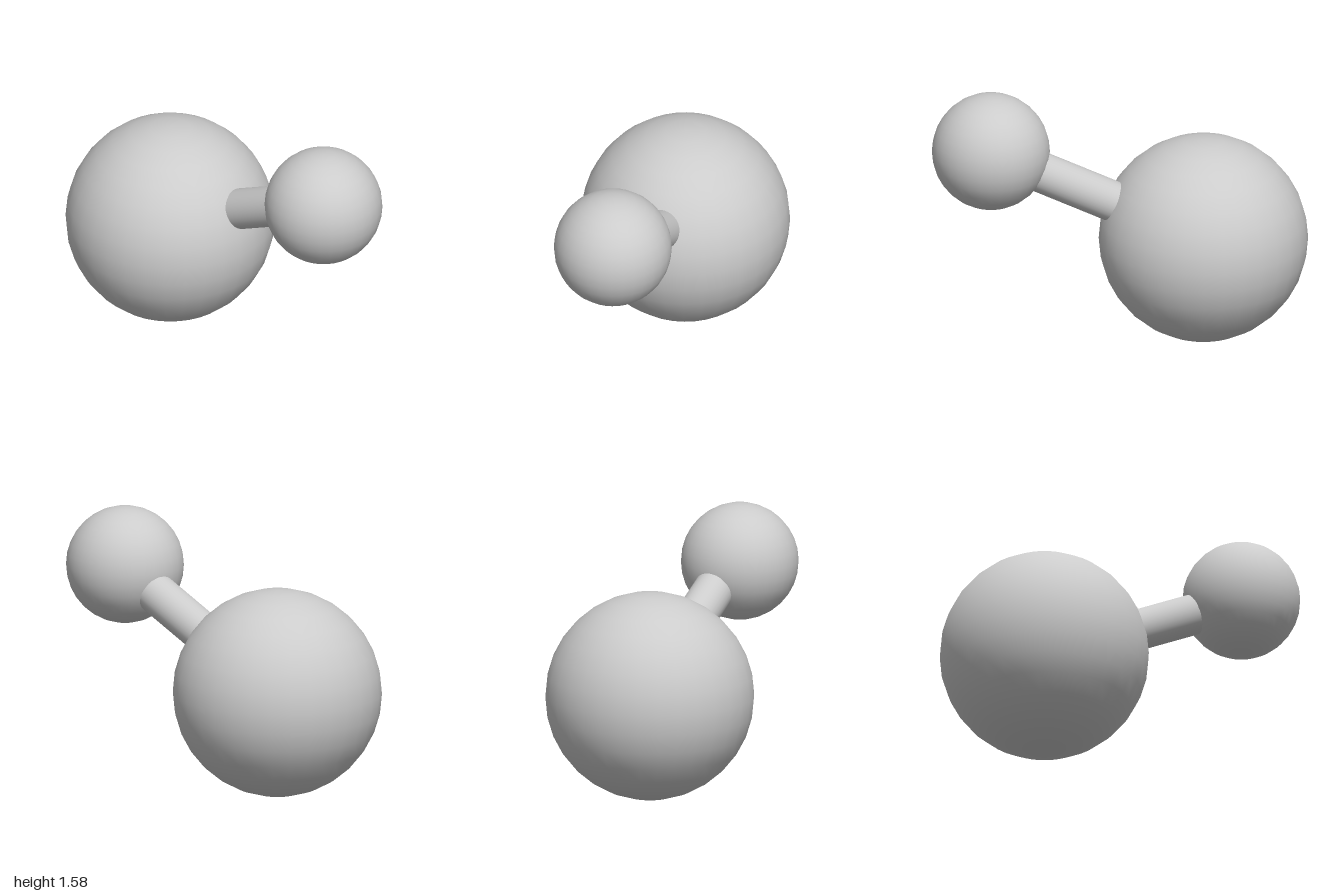
import * as THREE from 'three';

export function createModel() {
  const group = new THREE.Group();
  const material = new THREE.MeshStandardMaterial({ color: 0xcccccc });

  function add(name, geometry, position) {
    const mesh = new THREE.Mesh(geometry, material);
    mesh.name = name;
    mesh.position.copy(position);
    group.add(mesh);
    return mesh;
  }

  const largeCentre = new THREE.Vector3(-0.255, 0.633, -0.37);
  const smallCentre = new THREE.Vector3(0.527, 1.225, 0.645);

  // Two balls
  add('largeBall', new THREE.SphereGeometry(0.63, 32, 16), largeCentre);
  add('smallBall', new THREE.SphereGeometry(0.355, 32, 16), smallCentre);

  // Rod joining them, set slightly off the line of centres
  const axis = smallCentre.clone().sub(largeCentre);
  const middle = largeCentre.clone().lerp(smallCentre, 0.5).add(new THREE.Vector3(0.028, 0.008, -0.022));
  const rod = add('connectingRod', new THREE.CylinderGeometry(0.123, 0.123, axis.length() * 0.8, 32), middle);
  rod.quaternion.setFromUnitVectors(new THREE.Vector3(0, 1, 0), axis.normalize());

  return group;
}
